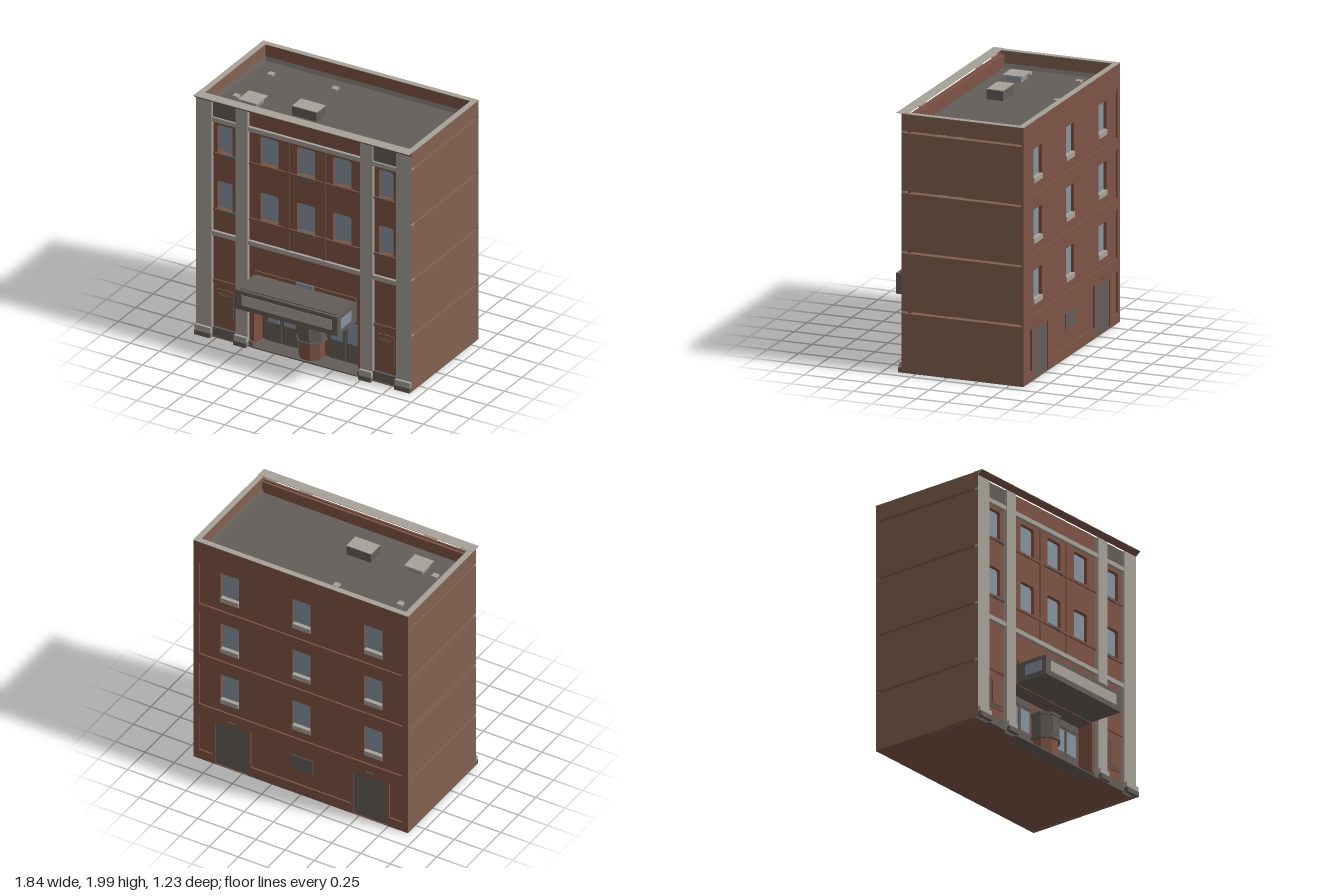
import * as THREE from 'three';

const paint = (name, color, side = THREE.FrontSide) => {
  const m = new THREE.MeshStandardMaterial({ color, side });
  m.name = name;
  return m;
};

export function createModel() {
  const brick = paint('brick', 0x7d5444);
  const sideBrick = paint('side brick', 0x82614f);
  const stone = paint('pale stone', 0xa6a198);
  const dark = paint('dark grey', 0x635d58);
  const glass = paint('window glass', 0x8793a0);
  const root = new THREE.Group();
  root.name = 'building';

  const add = (name, geometry, mat) => {
    const mesh = new THREE.Mesh(geometry, mat);
    mesh.name = name;
    root.add(mesh);
    return mesh;
  };
  // Box given by its bounds
  const box = (name, mat, x0, x1, y0, y1, z0, z1) => {
    const g = new THREE.BoxGeometry(x1 - x0, y1 - y0, z1 - z0);
    g.translate((x0 + x1) / 2, (y0 + y1) / 2, (z0 + z1) / 2);
    return add(name, g, mat);
  };
  // The same box on both sides of the centre
  const pair = (name, mat, x0, x1, ...rest) => {
    box(name, mat, x0, x1, ...rest);
    box(name, mat, -x1, -x0, ...rest);
  };
  // Ribbon of quads between two polylines
  const ribbon = (name, mat, a, b) => {
    const pos = [];
    for (let i = 0; i < a.length - 1; i++) {
      pos.push(...a[i], ...a[i + 1], ...b[i + 1], ...a[i], ...b[i + 1], ...b[i]);
    }
    const g = new THREE.BufferGeometry();
    g.setAttribute('position', new THREE.Float32BufferAttribute(pos, 3));
    g.computeVertexNormals();
    return add(name, g, mat);
  };
  // Rectangular outline with optionally clipped top corners
  const outline = (x0, x1, y0, y1, c = 0) => {
    const pts = [[x0, y0], [x1, y0], [x1, y1 - c], [x1 - c, y1], [x0 + c, y1], [x0, y1 - c]];
    return (c ? pts : [pts[0], pts[1], [x1, y1], [x0, y1]]).map(p => new THREE.Vector2(...p));
  };
  // Wall slab pierced by openings
  const wall = (name, mat, pts, holes, z0, z1) => {
    const shape = new THREE.Shape(pts);
    shape.holes = holes.map(h => new THREE.Path(h));
    const g = new THREE.ExtrudeGeometry(shape, { depth: z1 - z0, bevelEnabled: false });
    g.translate(0, 0, z0);
    return add(name, g, mat);
  };

  // Front wall with windows and the entrance notch
  const windows = [];
  for (const y of [1.065, 1.53]) {
    for (const [x, w] of [[-0.69, 0.125], [-0.31, 0.155], [0, 0.155], [0.31, 0.155], [0.685, 0.125]]) {
      windows.push(outline(x - w / 2, x + w / 2, y, y + 0.23, 0.012));
      box('frontWindow', glass, x - w / 2 - 0.005, x + w / 2 + 0.005, y - 0.005, y + 0.235, 0.292, 0.3);
    }
    for (const [x0, x1] of [[-0.79, -0.585], [-0.48, 0.48], [0.585, 0.79]]) {
      box('sillCourse', brick, x0, x1, y - 0.02, y - 0.002, 0.325, 0.342);
    }
    for (const [x0, x1] of [[-0.7, -0.59], [-0.08, 0.08], [0.59, 0.69]]) {
      box('windowSill', dark, x0, x1, y - 0.019, y, 0.325, 0.346);
    }
  }
  const front = [[-0.9, 0], [-0.445, 0], [-0.445, 0.44], [0.445, 0.44], [0.445, 0], [0.9, 0], [0.9, 1.955], [-0.9, 1.955]];
  wall('frontWall', brick, front.map(p => new THREE.Vector2(...p)), windows, 0.295, 0.33);
  pair('wallStrip', brick, 0.137, 0.168, 0.88, 1.79, 0.325, 0.337);

  // Stone pilasters, bases and bands
  for (const [x0, x1] of [[0.787, 0.919], [0.48, 0.585]]) {
    pair('pilaster', stone, x0, x1, 0, 1.955, 0.325, 0.36);
    pair('pilasterFoot', dark, x0, x1, 0, 0.038, 0.355, 0.39);
    pair('pilasterBase', stone, x0, x1, 0.038, 0.08, 0.355, 0.382);
  }
  for (const [y0, y1] of [[0.845, 0.88], [1.79, 1.825]]) {
    box('stoneBand', stone, -0.79, 0.79, y0, y1, 0.325, 0.355);
  }
  pair('topPanel', dark, 0.585, 0.79, 1.825, 1.955, 0.325, 0.34);
  pair('wallPlinth', dark, 0.585, 0.79, 0, 0.08, 0.325, 0.348);
  pair('entrancePlinth', dark, 0.445, 0.48, 0, 0.042, 0.325, 0.348);
  pair('sideBayCourse', brick, 0.585, 0.79, 0.45, 0.475, 0.325, 0.342);

  // Poster cases
  pair('posterSurround', brick, 0.613, 0.757, 0.15, 0.4, 0.325, 0.338);
  pair('posterFrame', dark, 0.625, 0.745, 0.165, 0.37, 0.335, 0.343);
  pair('posterPanel', brick, 0.638, 0.735, 0.178, 0.358, 0.34, 0.348);

  // Side walls, one course of wall per storey
  const joints = [[0, 0.457], [0.475, 0.917], [0.935, 1.378], [1.396, 1.84], [1.857, 1.984]];
  for (const [y0, y1] of joints) pair('sideWall', sideBrick, 0.875, 0.92, y0, y1, -0.609, 0.359);

  // Back wall: recessed panels over an inner wall with windows
  const panels = [], openings = [];
  [0.6, 1.065, 1.53].forEach((y, i) => {
    panels.push(outline(-0.87, 0.87, 0.5 + i * 0.46, 0.88 + i * 0.46));
    for (const x of [-0.615, 0, 0.615]) {
      openings.push(outline(x - 0.078, x + 0.078, y - 0.03, y + 0.23));
      box('backWindow', glass, x - 0.085, x + 0.085, y - 0.03, y + 0.235, -0.572, -0.564);
      box('backSill', stone, x - 0.077, x + 0.077, y - 0.03, y + 0.008, -0.605, -0.57);
    }
  });
  for (const s of [-1, 1]) {
    panels.push(outline(s * 0.815 - 0.058, s * 0.815 + 0.058, 0.08, 0.4));
    panels.push(outline(s * 0.59 - 0.14, s * 0.59 + 0.14, 0.005, 0.385));
  }
  panels.push(outline(-0.43, 0.43, 0.085, 0.415));
  wall('backWall', brick, outline(-0.919, 0.919, 0, 1.984), panels, -0.61, -0.597);
  wall('backInnerWall', brick, outline(-0.88, 0.88, 0, 1.984), openings, -0.597, -0.565);
  pair('backDoor', dark, 0.45, 0.73, 0.005, 0.385, -0.602, -0.595);
  pair('doorLamp', dark, 0.565, 0.615, 0.425, 0.435, -0.62, -0.605);
  box('backVent', dark, -0.095, 0.095, 0.215, 0.335, -0.603, -0.595);

  // Roof, sloped edge strip and parapet caps
  box('roof', dark, -0.875, 0.875, 1.852, 1.862, -0.565, 0.32);
  box('frontParapet', brick, -0.88, 0.88, 1.85, 1.965, 0.315, 0.33);
  const ring = (x, z0, z1, y) => [[-x, y, z0], [-x, y, z1], [x, y, z1], [x, y, z0], [-x, y, z0]];
  ribbon('roofEdgeStrip', dark, ring(0.855, -0.545, 0.3, 1.863), ring(0.875, -0.565, 0.315, 1.89))
    .material.side = THREE.DoubleSide;
  pair('sideCap', stone, 0.875, 0.92, 1.983, 1.987, -0.565, 0.32);
  box('backCap', stone, -0.92, 0.92, 1.983, 1.987, -0.61, -0.565);
  box('frontCap', stone, -0.92, 0.92, 1.986, 1.99, 0.315, 0.4);
  ribbon('frontCornice', brick, [[-0.92, 1.955, 0.36], [0.92, 1.955, 0.36]], [[-0.92, 1.986, 0.4], [0.92, 1.986, 0.4]]);

  // Roof equipment
  box('skylight', glass, -0.66, -0.54, 1.86, 1.905, 0.02, 0.14);
  box('skylightLid', stone, -0.68, -0.52, 1.905, 1.915, 0, 0.16);
  box('roofUnit', dark, -0.26, -0.05, 1.86, 1.935, -0.04, 0.09);
  box('roofUnitLid', stone, -0.26, -0.05, 1.935, 1.942, -0.04, 0.09);
  for (const [x, z] of [[-0.71, -0.37], [-0.19, -0.415], [-0.755, 0.055]]) {
    box('roofVent', stone, x - 0.023, x + 0.023, 1.86, 1.88, z - 0.023, z + 0.023);
  }

  // Ground slab and recessed entrance
  box('groundSlab', brick, -0.915, 0.915, 0, 0.005, -0.605, 0.25);
  pair('groundSlabEnd', brick, 0.445, 0.915, 0, 0.005, 0.25, 0.355);
  box('entranceFloor', dark, -0.445, 0.445, 0.001, 0.01, 0.2, 0.36);
  box('entranceCeiling', dark, -0.445, 0.445, 0.44, 0.447, 0.19, 0.33);
  box('entranceWall', brick, -0.46, 0.46, 0.005, 0.445, 0.17, 0.2);
  pair('entranceSide', brick, 0.445, 0.46, 0.005, 0.445, 0.2, 0.296);
  pair('doorFrame', dark, 0.132, 0.415, 0.01, 0.43, 0.195, 0.21);
  pair('doorLintel', dark, 0.128, 0.419, 0.37, 0.385, 0.205, 0.218);
  for (const x of [0.2, 0.34]) {
    pair('doorLeaf', dark, x - 0.066, x + 0.066, 0.012, 0.36, 0.208, 0.216);
    pair('doorGlass', glass, x - 0.05, x + 0.05, 0.17, 0.345, 0.214, 0.22);
  }
  box('entranceSign', dark, -0.06, 0.06, 0.375, 0.42, 0.198, 0.206);

  // Eight-sided ticket booth
  for (const [name, mat, r, y0, y1] of [
    ['boothBase', brick, 0.1, 0.01, 0.145], ['boothCounter', dark, 0.12, 0.145, 0.162],
    ['boothBody', dark, 0.11, 0.162, 0.33], ['boothRoof', dark, 0.122, 0.33, 0.352]]) {
    const g = new THREE.CylinderGeometry(r, r, y1 - y0, 8).toNonIndexed();
    g.rotateY(Math.PI / 8);
    g.computeVertexNormals();
    g.translate(0, (y0 + y1) / 2, 0.245);
    add(name, g, mat);
  }
  box('boothWindowFrame', dark, -0.04, 0.04, 0.18, 0.315, 0.344, 0.352);

  // Marquee with sign panels, and the trim above it
  box('marquee', dark, -0.435, 0.435, 0.445, 0.603, 0.325, 0.61);
  box('marqueeRoof', dark, -0.412, 0.412, 0.6, 0.61, 0.325, 0.587);
  box('marqueeSign', stone, -0.383, 0.383, 0.485, 0.57, 0.606, 0.613);
  pair('marqueeSideSign', glass, 0.431, 0.438, 0.485, 0.57, 0.41, 0.565);
  box('marqueeTrim', brick, -0.43, 0.43, 0.6, 0.638, 0.325, 0.342);
  box('trimGlass', glass, -0.076, 0.076, 0.6, 0.64, 0.338, 0.346);
  return root;
}
